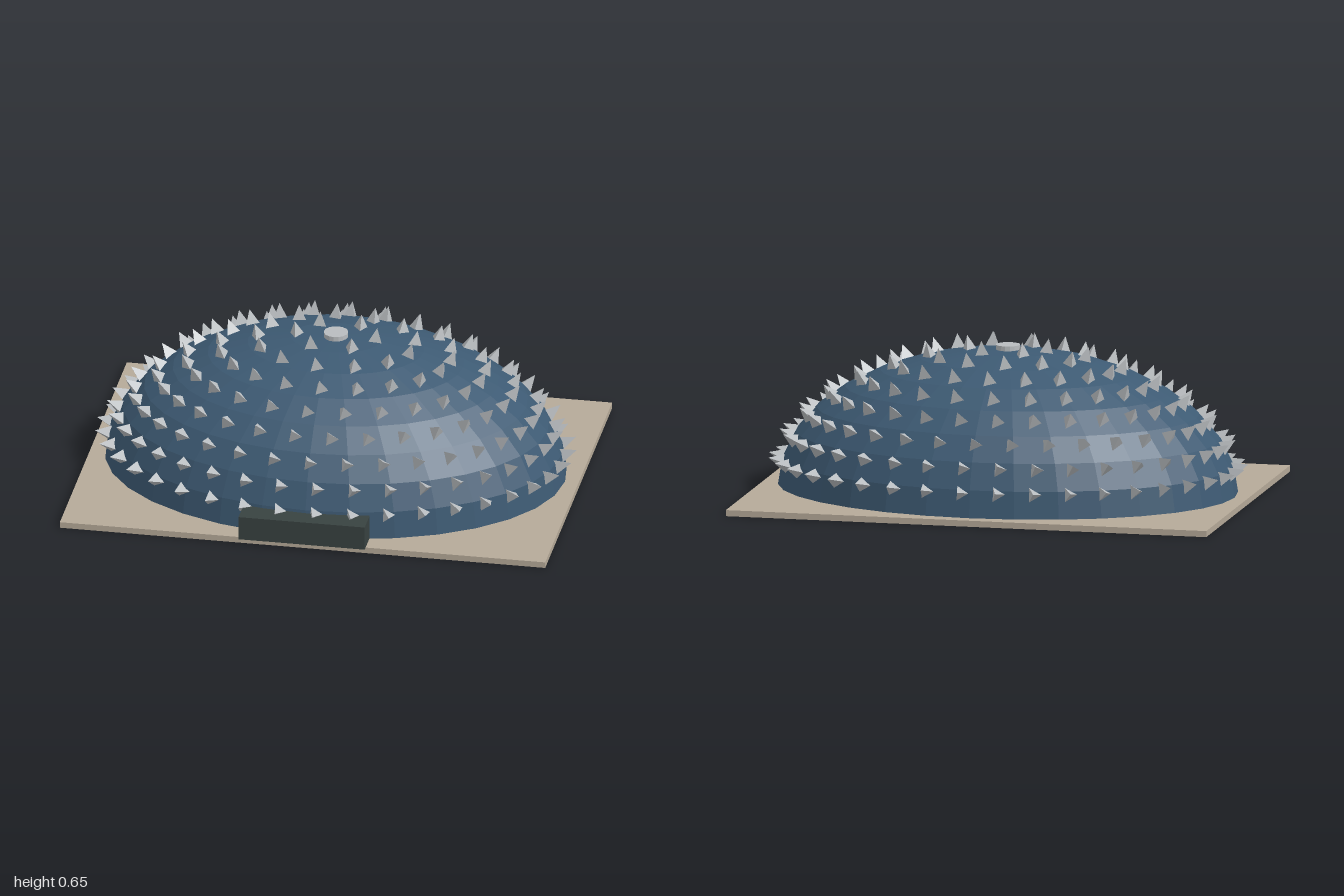
import * as THREE from 'three';

const material = (name, color, flatShading = false) => {
  const m = new THREE.MeshStandardMaterial({ color, flatShading });
  m.name = name;
  return m;
};

export function createModel() {
  const group = new THREE.Group();
  const slate = material('slateBlue', 0x3d5a73, true);
  const metal = material('paleMetal', 0xb8bcbf, true);
  const sand = material('sand', 0xb5a998);
  const dark = material('darkGrey', 0x384240);

  const add = (name, geometry, mat, x, y, z, parent = group) => {
    const mesh = new THREE.Mesh(geometry, mat);
    mesh.name = name;
    mesh.position.set(x, y, z);
    parent.add(mesh);
    return mesh;
  };

  const centre = new THREE.Vector3(0, 0.025, -0.01);
  const radii = new THREE.Vector3(0.944, 0.575, 0.687);

  // Ground slab and front block
  add('basePlate', new THREE.BoxGeometry(2, 0.025, 1.48), sand, 0, 0.0125, -0.01);
  add('frontBlock', new THREE.BoxGeometry(0.52, 0.1, 0.11), dark, 0, 0.075, 0.695);

  // Half-ellipsoid shell
  const domeGeometry = new THREE.SphereGeometry(1, 32, 8, 0, Math.PI * 2, 0, Math.PI / 2);
  domeGeometry.scale(radii.x, radii.y, radii.z);
  add('dome', domeGeometry, slate, centre.x, centre.y, centre.z);

  // Small disc on the summit
  add('topCap', new THREE.CylinderGeometry(0.05, 0.05, 0.03, 16), metal, 0, 0.601, -0.01);

  // Three-sided spikes in staggered rings, pointing along the surface normal
  const spikes = new THREE.Group();
  spikes.name = 'spikes';
  group.add(spikes);
  const spikeGeometry = new THREE.ConeGeometry(0.038, 0.07, 3);
  spikeGeometry.translate(0, 0.022, 0);
  const basis = new THREE.Matrix4();
  for (let row = 1; row <= 8; row++) {
    const lat = THREE.MathUtils.degToRad(row * 10);
    const count = Math.floor(40 * Math.cos(lat) + 1e-6);
    for (let i = 0; i < count; i++) {
      const a = ((i + (row % 2) * 0.5) / count) * Math.PI * 2;
      const unit = new THREE.Vector3(Math.cos(lat) * Math.cos(a), Math.sin(lat), Math.cos(lat) * Math.sin(a));
      const p = unit.clone().multiply(radii).add(centre);
      const normal = unit.clone().divide(radii).normalize();
      const side = new THREE.Vector3(0, 1, 0).cross(normal).normalize();
      const spike = add('spike', spikeGeometry, metal, p.x, p.y, p.z, spikes);
      basis.makeBasis(normal.clone().cross(side), normal, side);
      spike.quaternion.setFromRotationMatrix(basis);
    }
  }
  return group;
}
